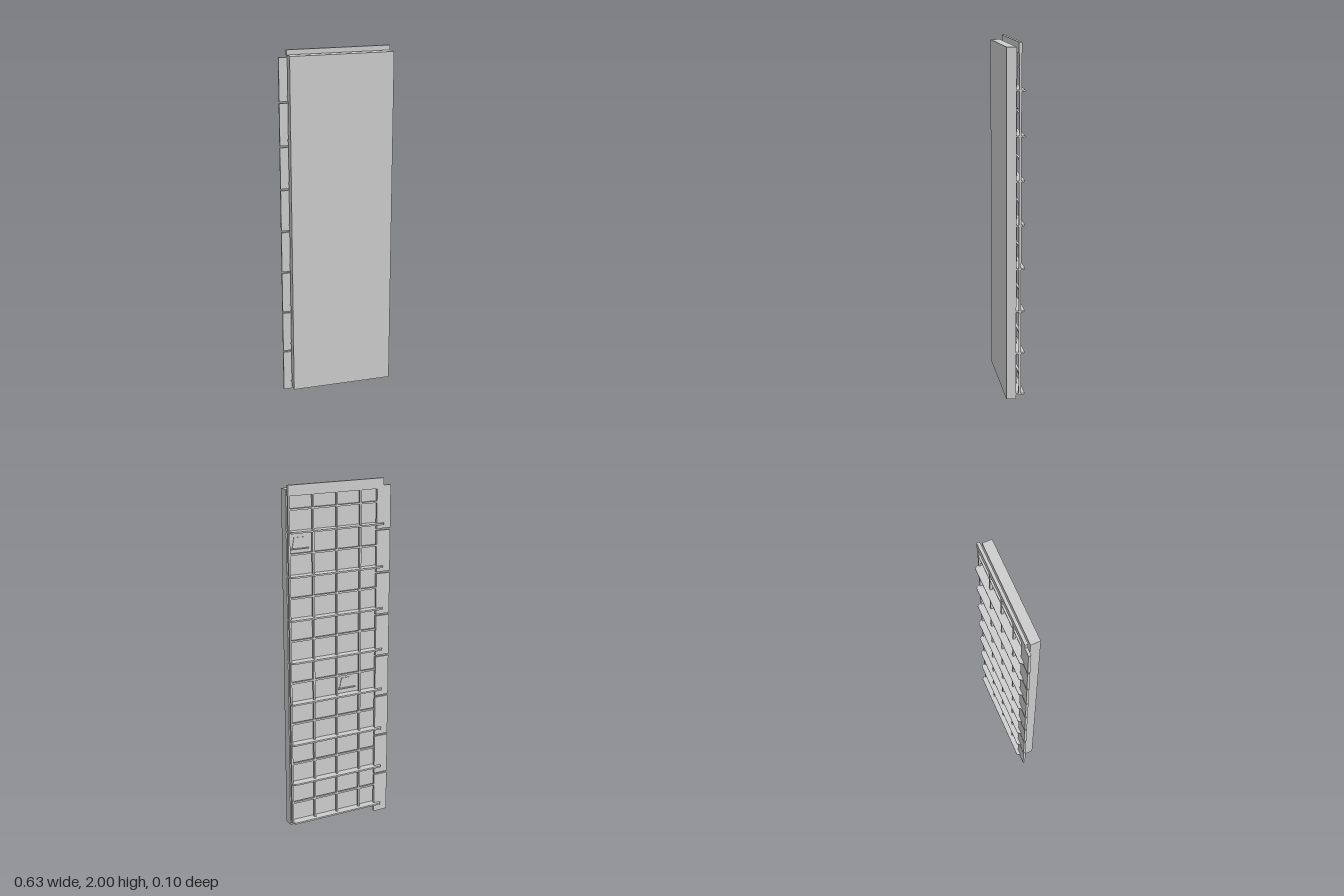
import * as THREE from 'three';

export function createModel() {
  const group = new THREE.Group();
  const material = new THREE.MeshStandardMaterial({ color: 0xcccccc, flatShading: true });

  function add(name, geometry) {
    const mesh = new THREE.Mesh(geometry, material);
    mesh.name = name;
    group.add(mesh);
    return mesh;
  }
  // Box given by its limits on each axis
  function box(name, x0, x1, y0, y1, z0, z1) {
    const mesh = add(name, new THREE.BoxGeometry(x1 - x0, y1 - y0, z1 - z0));
    mesh.position.set((x0 + x1) / 2, (y0 + y1) / 2, (z0 + z1) / 2);
    return mesh;
  }
  function shapeFrom(points) {
    return new THREE.Shape(points.map(([x, y]) => new THREE.Vector2(x, y)));
  }

  const left = -0.27, right = 0.314, pitch = 0.2425;
  const gridBack = -0.03, gridFront = -0.017;

  // Main slab
  box('frontPanel', left, right, 0.025, 1.975, -0.003, 0.051);

  // Top rail behind the slab
  box('topRail', left, right, 1.942, 2, -0.032, -0.015);

  // Side flange, cut into segments by narrow slots
  const slots = Array.from({ length: 7 }, (_, i) => 0.243 + i * 0.2455);
  const edges = [0, ...slots, 1.96];
  for (let i = 0; i < edges.length - 1; i++) {
    const y0 = edges[i] + (i ? 0.005 : 0);
    const y1 = edges[i + 1] - (i < slots.length ? 0.005 : 0);
    box('sideFlange', -0.314, -0.228, y0, y1, -0.032, -0.018);
  }

  // Upright bars of the rear grid
  for (const x of [0.309, 0.165, 0.02, -0.126]) {
    box('uprightBar', x - 0.005, x + 0.005, 0.045, 1.945, gridBack, gridFront);
  }

  // Cross bars half way between the ribs
  for (let i = 0; i < 8; i++) {
    const y = 0.172 + i * pitch;
    box('crossBar', -0.23, 0.309, y - 0.005, y + 0.005, gridBack, gridFront);
  }

  // Horizontal ribs with clipped outer corners
  const ribShape = shapeFrom([
    [left, 0.003], [right, 0.003], [right, 0.035], [right - 0.012, 0.052],
    [left + 0.012, 0.052], [left, 0.035],
  ]);
  const ribGeometry = new THREE.ExtrudeGeometry(ribShape, { depth: 0.009, bevelEnabled: false });
  ribGeometry.rotateX(-Math.PI / 2).translate(0, -0.0045, 0);
  for (let i = 0; i < 8; i++) {
    add('horizontalRib', ribGeometry).position.y = 0.05 + i * pitch;
  }

  // Two hanger plates with a small ledge
  const hangerShape = shapeFrom([[-0.042, 0], [0.042, 0], [0.03, 0.062], [-0.03, 0.062]]);
  const hangerGeometry = new THREE.ExtrudeGeometry(hangerShape, { depth: 0.005, bevelEnabled: false });
  for (const [x, y] of [[0.24, 1.652], [-0.05, 0.812]]) {
    add('hangerPlate', hangerGeometry).position.set(x, y, -0.007);
    box('hangerLedge', x - 0.055, x + 0.055, y - 0.003, y + 0.003, -0.016, -0.002);
  }

  return group;
}
